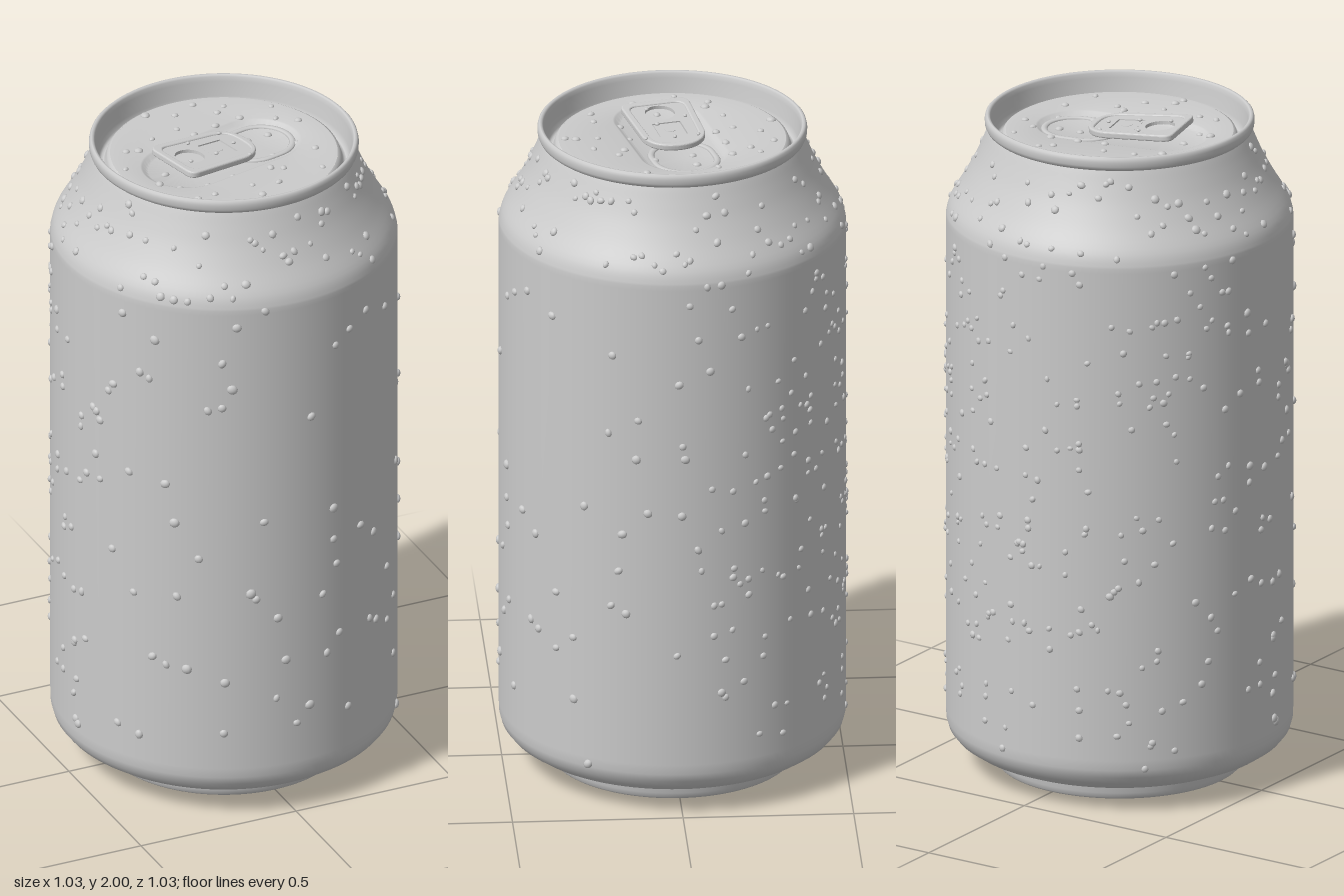
import * as THREE from 'three';
import { mergeGeometries, toCreasedNormals } from 'three/addons/utils/BufferGeometryUtils.js';

const material = new THREE.MeshStandardMaterial({ color: 0xcccccc });
const PANEL_Y = 1.95, FLOOR_Y = 1.936, TURN = 0.227;

function part(name, geometry, parent) {
  const mesh = new THREE.Mesh(geometry, material);
  mesh.name = name;
  parent.add(mesh);
  return mesh;
}

const vecs = (pairs) => pairs.map(([x, y]) => new THREE.Vector2(x, y));
const lathe = (pairs) => new THREE.LatheGeometry(vecs(pairs), 96);

// Outside wall from the foot to the neck, as [radius, height]
const lowerWall = [[0.372, 0.045], [0.41, 0.053], [0.45, 0.07], [0.482, 0.092], [0.5, 0.115], [0.507, 0.14], [0.508, 0.17]];
const shoulder = new THREE.SplineCurve(vecs([[0.508, 1.695], [0.496, 1.735], [0.457, 1.8],
  [0.425, 1.86], [0.403, 1.91], [0.389, 1.945], [0.384, 1.957]])).getPoints(24).map((p) => [p.x, p.y]);
const wall = [...lowerWall, [0.508, 1.68], ...shoulder];

// Radius and slope of the wall at a height
function wallAt(y) {
  let i = 0;
  while (i < wall.length - 2 && wall[i + 1][1] < y) i++;
  const [r0, y0] = wall[i], [r1, y1] = wall[i + 1];
  const slope = (r1 - r0) / (y1 - y0);
  return { r: r0 + slope * (y - y0), slope };
}

// Points of a long rounded outline lying flat
function stadium(cx, half, r, y, n = 96) {
  return Array.from({ length: n }, (_, k) => {
    const a = (k / n) * Math.PI * 2;
    const side = Math.abs(Math.cos(a)) < 1e-6 ? 0 : Math.sign(Math.cos(a));
    return new THREE.Vector3(cx + side * half + r * Math.cos(a), y, -r * Math.sin(a));
  });
}

// Surface stretched over loops that run from the outside inwards
function skin(loops) {
  const n = loops[0].length, index = [];
  for (let i = 0; i < loops.length - 1; i++) {
    for (let k = 0; k < n; k++) {
      const a = i * n + k, b = i * n + ((k + 1) % n);
      index.push(a, b, b + n, a, b + n, a + n);
    }
  }
  const g = new THREE.BufferGeometry().setFromPoints(loops.flat());
  g.setIndex(index);
  return toCreasedNormals(g, 0.7);
}

// Tab outline: square tail, round nose
function tabOutline(inset, Type) {
  const l = -0.2 + inset, r = 0.088 - inset, h = 0.104 - inset, c = 0.03;
  const s = new Type();
  s.moveTo(l + c, -h);
  s.lineTo(0.0, -h + 0.008);
  s.bezierCurveTo(0.06, -h + 0.01, r, -0.05, r, 0);
  s.bezierCurveTo(r, 0.05, 0.06, h - 0.01, 0.0, h - 0.008);
  s.lineTo(l + c, h);
  s.quadraticCurveTo(l, h, l, h - c);
  s.lineTo(l, -h + c);
  s.quadraticCurveTo(l, -h, l + c, -h);
  return s;
}

function slab(shape, depth, bevel) {
  return new THREE.ExtrudeGeometry(shape, { depth, curveSegments: 16, bevelEnabled: bevel > 0,
    bevelSize: bevel, bevelThickness: bevel, bevelOffset: -bevel, bevelSegments: 3 }).rotateX(-Math.PI / 2);
}

function seeded(seed) {
  return () => (seed = (seed * 16807) % 2147483647) / 2147483647;
}

// One water drop, flattened along the surface normal
function drop(position, normal, size, random) {
  const g = new THREE.IcosahedronGeometry(1, 1);
  const q = new THREE.Quaternion().setFromUnitVectors(new THREE.Vector3(0, 0, 1), normal);
  q.multiply(new THREE.Quaternion().setFromAxisAngle(new THREE.Vector3(0, 0, 1), random() * Math.PI));
  const scale = new THREE.Vector3(size, size * (0.75 + random() * 0.35), size * 0.65);
  return g.applyMatrix4(new THREE.Matrix4().compose(position, q, scale));
}

function wallDrops(random) {
  const drops = [];
  const place = (angle, y, size) => {
    const { r, slope } = wallAt(y);
    const normal = new THREE.Vector3(Math.sin(angle), -slope, Math.cos(angle)).normalize();
    drops.push(drop(new THREE.Vector3(r * Math.sin(angle), y, r * Math.cos(angle)), normal, size, random));
  };
  // Body: sparse on the front, dense and finer on the upper back
  while (drops.length < 370) {
    const angle = random() * Math.PI * 2, y = 0.14 + random() * 1.55;
    const back = THREE.MathUtils.smoothstep(-Math.cos(angle), -0.5, 0.7);
    const chance = 0.25 + 0.75 * back * (y < 0.5 ? 0.5 : 1);
    if (random() < chance) place(angle, y, 0.0125 - 0.0035 * back + random() * 0.003);
  }
  // Shoulder
  for (let i = 0; i < 110; i++) place(i * 2.39996, 1.71 + random() * 0.22, 0.009 + random() * 0.005);
  return mergeGeometries(drops);
}

function lidDrops(random) {
  const drops = [], up = new THREE.Vector3(0, 1, 0);
  for (let i = 0; i < 42; i++) {
    const r = 0.32 * Math.sqrt((i + 0.5) / 42), a = i * 2.39996 + random() * 0.5;
    const x = r * Math.cos(a), z = r * Math.sin(a);
    const onTab = x > -0.2 && x < 0.09 && Math.abs(z) < 0.105;
    const inRecess = Math.hypot(Math.max(Math.abs(x + 0.01) - 0.13, 0), z) < 0.12;
    const y = onTab ? 1.973 - x * 0.08 : inRecess ? FLOOR_Y : PANEL_Y;
    drops.push(drop(new THREE.Vector3(x, y, z), up, onTab ? 0.007 : 0.009 + random() * 0.005, random));
  }
  return mergeGeometries(drops);
}

export function createModel() {
  const can = new THREE.Group();
  can.name = 'drinkCan';

  // Domed underside and foot ring
  part('baseDome', lathe([[0, 0.11], [0.08, 0.107], [0.16, 0.098], [0.23, 0.082], [0.29, 0.06], [0.318, 0.042],
    [0.327, 0.024], [0.332, 0.01], [0.338, 0.003], [0.347, 0], [0.358, 0.002], [0.364, 0.008], [0.368, 0.022],
    [0.372, 0.045]]), can);
  part('wall', lathe(wall), can);

  // Rolled rim and the groove inside it
  part('rim', lathe([[0.384, 1.957], [0.39, 1.962], [0.394, 1.971], [0.395, 1.985], [0.393, 1.995], [0.388, 2],
    [0.382, 1.999], [0.378, 1.994], [0.376, 1.98], [0.37, 1.935], [0.366, 1.92], [0.36, 1.914], [0.353, 1.915],
    [0.348, 1.922], [0.344, 1.937], [0.34, 1.946], [0.333, PANEL_Y]]), can);

  const lid = new THREE.Group();
  lid.name = 'lid';
  lid.rotation.y = TURN;
  can.add(lid);

  // Lid panel with a sunken, rounded recess
  part('lidPanel', skin([
    stadium(0, 0, 0.333, PANEL_Y), stadium(-0.01, 0.13, 0.134, PANEL_Y), stadium(-0.01, 0.13, 0.128, PANEL_Y - 0.002),
    stadium(-0.01, 0.13, 0.118, FLOOR_Y + 0.002), stadium(-0.01, 0.13, 0.112, FLOOR_Y), stadium(-0.01, 0.13, 0, FLOOR_Y),
  ]), lid);

  // Raised line around the mouth
  const mouthPath = new THREE.CatmullRomCurve3(stadium(0.12, 0.018, 0.092, 0, 48), true);
  const mouth = part('mouthRidge', new THREE.TubeGeometry(mouthPath, 96, 0.01, 8, true), lid);
  mouth.position.y = FLOOR_Y;
  mouth.scale.y = 0.6;

  // Pull tab, its tail lifted a little
  const tab = new THREE.Group();
  tab.name = 'pullTab';
  tab.position.y = 1.958;
  tab.rotation.z = -0.08;
  lid.add(tab);

  const frame = tabOutline(0, THREE.Shape);
  frame.holes.push(tabOutline(0.022, THREE.Path));
  part('tabFrame', slab(frame, 0.01, 0.005), tab);

  const web = tabOutline(0.018, THREE.Shape);
  web.holes.push(new THREE.Path().absarc(-0.128, 0, 0.044, 0, Math.PI * 2, true));
  web.holes.push(new THREE.Path(vecs([[-0.065, -0.043], [-0.065, 0.043], [0.017, 0.043], [0.017, -0.043], [-0.065, -0.043]])));
  part('tabWeb', slab(web, 0.01, 0), tab);

  // Rivet plate in the square opening
  part('rivetPlate', new THREE.BoxGeometry(0.076, 0.012, 0.08).translate(-0.024, 0.002, 0), tab);
  part('rivet', new THREE.CylinderGeometry(0.016, 0.022, 0.03, 24).translate(-0.024, -0.006, 0), tab);

  // Condensation
  const random = seeded(4711);
  part('wallDroplets', wallDrops(random), can);
  part('lidDroplets', lidDrops(random), lid);
  return can;
}
